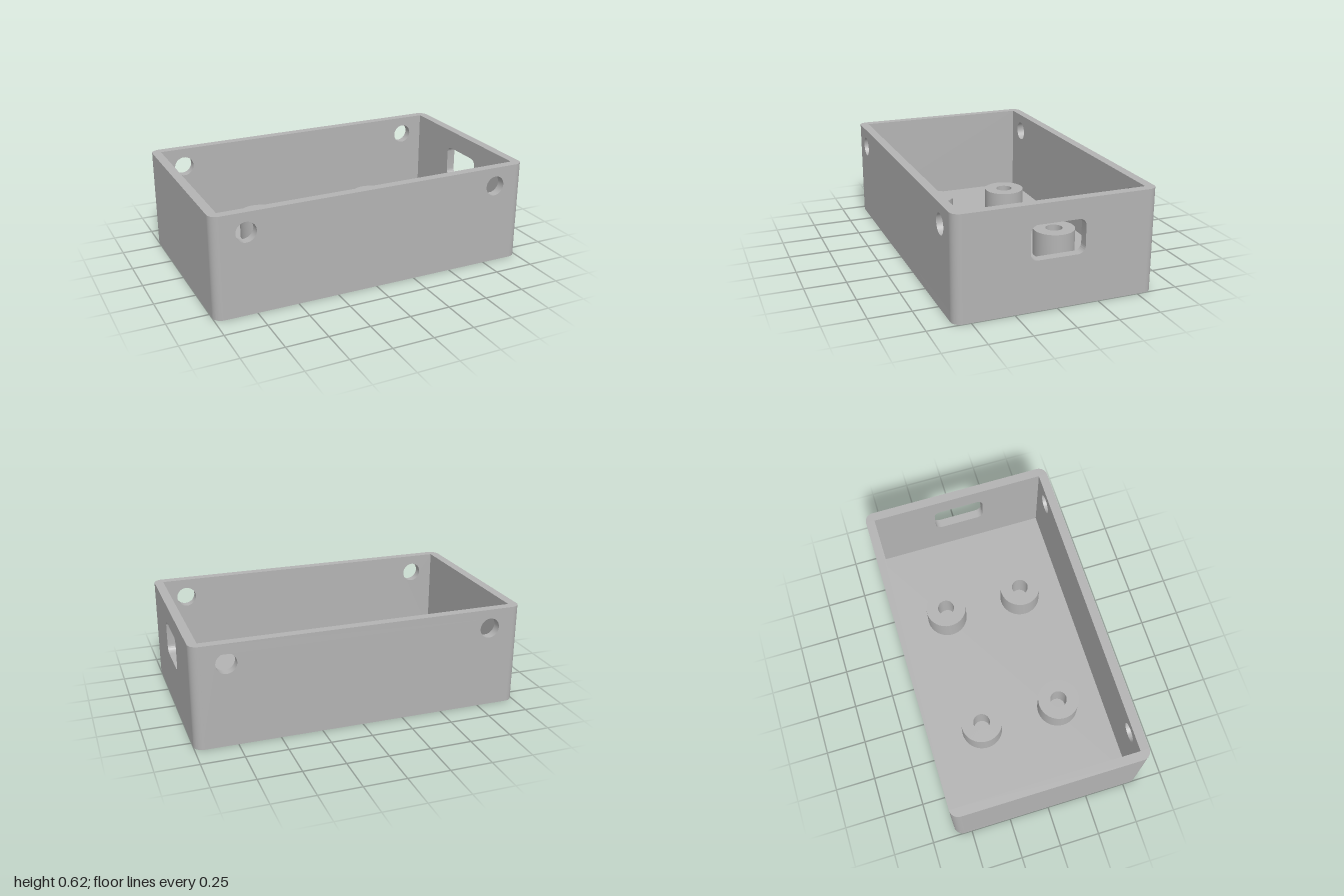
import * as THREE from 'three';
import { toCreasedNormals } from 'three/addons/utils/BufferGeometryUtils.js';

const HX = 1, HZ = 0.6, H = 0.62;  // half width, half depth, height
const T = 0.055;                   // wall thickness and outer corner radius
const FLOOR = 0.06;

// Rounded rectangle outline, used for the floor and the port
function roundedRect(path, x0, y0, x1, y1, r) {
  path.moveTo(x0 + r, y0);
  path.lineTo(x1 - r, y0);
  path.absarc(x1 - r, y0 + r, r, -Math.PI / 2, 0);
  path.lineTo(x1, y1 - r);
  path.absarc(x1 - r, y1 - r, r, 0, Math.PI / 2);
  path.lineTo(x0 + r, y1);
  path.absarc(x0 + r, y1 - r, r, Math.PI / 2, Math.PI);
  path.lineTo(x0, y0 + r);
  path.absarc(x0 + r, y0 + r, r, Math.PI, Math.PI * 1.5);
  return path;
}

function extrude(shape, depth) {
  const g = new THREE.ExtrudeGeometry(shape, { depth, bevelEnabled: false, curveSegments: 20 });
  return toCreasedNormals(g, 0.6);
}

// Upright wall panel with cut-outs, centred on its own thickness
function wallPanel(halfLength, holes) {
  const s = new THREE.Shape();
  s.moveTo(-halfLength, FLOOR);
  s.lineTo(halfLength, FLOOR);
  s.lineTo(halfLength, H);
  s.lineTo(-halfLength, H);
  s.closePath();
  s.holes.push(...holes);
  return extrude(s, T).translate(0, 0, -T / 2);
}

export function createModel() {
  const model = new THREE.Group();
  model.name = 'enclosure';
  const grey = new THREE.MeshStandardMaterial({ color: 0xb3b3b3 });
  grey.name = 'grey plastic';

  const add = (name, geometry, x = 0, y = 0, z = 0) => {
    const mesh = new THREE.Mesh(geometry, grey);
    mesh.name = name;
    mesh.position.set(x, y, z);
    model.add(mesh);
    return mesh;
  };

  // Floor slab
  const floor = extrude(roundedRect(new THREE.Shape(), -HX, -HZ, HX, HZ, T), FLOOR);
  add('floor', floor.rotateX(-Math.PI / 2));

  // Front and back walls, each with two round holes
  const screwHoles = [-0.8, 0.8].map(x => new THREE.Path().absarc(x, 0.503, 0.061, 0, Math.PI * 2, true));
  const longWall = wallPanel(HX - T, screwHoles);
  add('frontWall', longWall, 0, 0, HZ - T / 2);
  add('backWall', longWall, 0, 0, -HZ + T / 2);

  // Side walls, one with the rounded port
  const port = roundedRect(new THREE.Path(), -0.162, 0.3, 0.162, 0.503, 0.042);
  add('portWall', wallPanel(HZ - T, [port]).rotateY(Math.PI / 2), HX - T / 2);
  add('plainWall', wallPanel(HZ - T, []).rotateY(Math.PI / 2), -HX + T / 2);

  // Rounded corner posts
  [[1, 1], [1, -1], [-1, -1], [-1, 1]].forEach(([sx, sz], i) => {
    const post = new THREE.CylinderGeometry(T, T, H - FLOOR, 16, 1, false, i * Math.PI / 2, Math.PI / 2);
    add('cornerPost', post, sx * (HX - T), (H + FLOOR) / 2, sz * (HZ - T));
  });

  // Hollow mounting bosses
  const profile = [[0.129, FLOOR], [0.129, 0.222], [0.052, 0.222], [0.052, FLOOR]]
    .map(([r, y]) => new THREE.Vector2(r, y));
  const boss = toCreasedNormals(new THREE.LatheGeometry(profile, 48), 0.6);
  for (const x of [-0.405, 0.405])
    for (const z of [-0.254, 0.254]) add('mountingBoss', boss, x, 0, z);

  return model;
}
